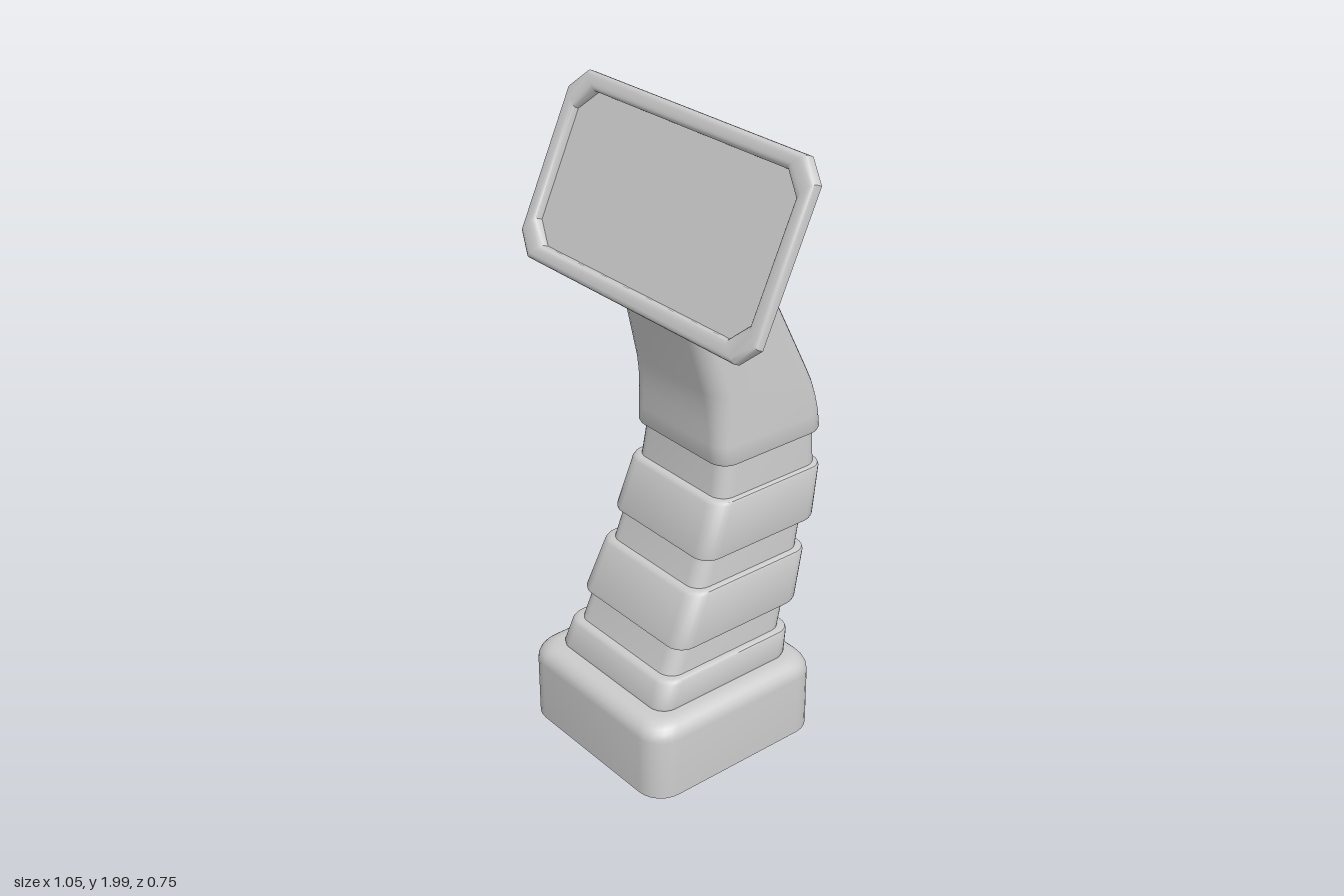
import * as THREE from 'three';
import { toCreasedNormals } from 'three/addons/utils/BufferGeometryUtils.js';

const material = new THREE.MeshStandardMaterial({ color: 0xcccccc, side: THREE.DoubleSide });

// Rounded rectangle of half width hx, running from a front to a back point [z, y]
function section(hx, front, back, r, seg = 6) {
  const f = new THREE.Vector2(...front), b = new THREE.Vector2(...back);
  const hd = f.distanceTo(b) / 2;
  const mid = f.clone().add(b).multiplyScalar(0.5);
  const dir = f.clone().sub(b).normalize();
  const points = [];
  [[1, 1], [-1, 1], [-1, -1], [1, -1]].forEach(([sx, sd], corner) => {
    for (let i = 0; i <= seg; i++) {
      const a = (corner + i / seg) * Math.PI / 2;
      const x = sx * (hx - r) + r * Math.cos(a);
      const d = sd * (hd - r) + r * Math.sin(a);
      points.push(new THREE.Vector3(x, mid.y + dir.y * d, mid.x + dir.x * d));
    }
  });
  return points;
}

// Skin over a stack of sections, with optional flat ends
function loft(name, sections, capStart = false, capEnd = false) {
  const n = sections[0].length;
  const points = sections.flat();
  const index = [];
  for (let s = 0; s < sections.length - 1; s++) {
    for (let i = 0; i < n; i++) {
      const a = s * n + i, b = s * n + (i + 1) % n;
      index.push(a, a + n, b, b, a + n, b + n);
    }
  }
  const cap = (start, flip) => {
    const centre = new THREE.Vector3();
    for (let i = 0; i < n; i++) centre.addScaledVector(points[start + i], 1 / n);
    const c = points.push(centre) - 1;
    for (let i = 0; i < n; i++) {
      const a = start + i, b = start + (i + 1) % n;
      if (flip) index.push(c, a, b); else index.push(c, b, a);
    }
  };
  if (capStart) cap(0, true);
  if (capEnd) cap((sections.length - 1) * n, false);
  const geometry = new THREE.BufferGeometry().setFromPoints(points);
  geometry.setIndex(index);
  const mesh = new THREE.Mesh(toCreasedNormals(geometry, 0.62), material);
  mesh.name = name;
  return mesh;
}

// Level section given as [y, front z, back z, half width], pulled in by an inset
const level = ([y, f, b, hx], inset = 0, r = 0.055) =>
  section(hx - inset, [f - inset, y], [b + inset, y], r);

// Point between two levels, at fraction t
const mix = (p, q, t) => p.map((v, i) => v + (q[i] - v) * t);

// Sleeve with softened lips that close in on the neck
function sleeve(name, bottom, top) {
  const lip = 0.012 / (top[0] - bottom[0]);
  return loft(name, [
    level(bottom, 0.035, 0.04), level(bottom, 0.01), level(mix(bottom, top, lip * 0.3), 0.003),
    level(mix(bottom, top, lip)), level(mix(bottom, top, 1 - lip)),
    level(mix(bottom, top, 1 - lip * 0.3), 0.003), level(top, 0.01), level(top, 0.035, 0.04),
  ]);
}

export function createModel() {
  const group = new THREE.Group();

  // Hollow foot with a rounded top edge
  const foot = [0, 0.38, -0.27, 0.325];
  const footSections = [level(foot, 0, 0.085)];
  const edge = 0.055;
  for (let i = 0; i <= 6; i++) {
    const a = i / 6 * Math.PI / 2;
    const inset = edge * (1 - Math.cos(a));
    footSections.push(level([0.203 + edge * Math.sin(a), ...foot.slice(1)], inset, 0.085 - inset * 0.4));
  }
  footSections.push(level([0.258, ...foot.slice(1)], 0.09, 0.055));
  group.add(loft('foot', footSections));

  // Overlapping sleeves of the bent column
  group.add(
    sleeve('lowerSleeve', [0.255, 0.31, -0.21, 0.26], [0.347, 0.275, -0.23, 0.25]),
    sleeve('middleSleeve', [0.433, 0.23, -0.26, 0.247], [0.602, 0.153, -0.307, 0.233]),
    sleeve('upperSleeve', [0.692, 0.117, -0.34, 0.23], [0.867, 0.053, -0.375, 0.218]),
  );

  // Narrower necks between the sleeves
  [
    [[0.34, 0.253, -0.205, 0.228], [0.44, 0.214, -0.235, 0.222]],
    [[0.595, 0.135, -0.285, 0.213], [0.7, 0.098, -0.31, 0.207]],
    [[0.86, 0.033, -0.36, 0.202], [0.985, 0.014, -0.36, 0.195]],
  ].forEach(([low, high]) => group.add(loft('neck', [level(low, 0, 0.05), level(high, 0, 0.05)])));

  // Head leaning forward to meet the back of the screen
  const head = [0.975, 0.037, -0.375, 0.212];
  group.add(loft('head', [
    level(head, 0.035, 0.04), level(head, 0.01), level([0.979, ...head.slice(1)], 0.003),
    level([0.987, ...head.slice(1)]),
    section(0.21, [0.039, 1.04], [-0.372, 1.04], 0.058),
    section(0.208, [0.04, 1.1], [-0.362, 1.09], 0.06),
    section(0.206, [0.044, 1.16], [-0.347, 1.14], 0.062),
    section(0.203, [0.053, 1.21], [-0.326, 1.19], 0.064),
    section(0.172, [0.15, 1.577], [0.006, 1.886], 0.065),
  ]));

  // Screen: chamfered plate with a raised rim, as [half width, half height, depth, chamfer]
  const screen = loft('screen', [
    [0.519, 0.281, 0, 0.06], [0.525, 0.287, 0.005, 0.062], [0.525, 0.287, 0.024, 0.062],
    [0.522, 0.284, 0.031, 0.062], [0.517, 0.279, 0.036, 0.062], [0.509, 0.271, 0.038, 0.062],
    [0.492, 0.253, 0.038, 0.062], [0.484, 0.244, 0.036, 0.063], [0.479, 0.239, 0.031, 0.064],
    [0.476, 0.235, 0.024, 0.064], [0.475, 0.234, 0.01, 0.064],
  ].map(([w, h, depth, c]) => section(w, [h, depth], [-h, depth], c, 1)), true, true);
  screen.rotation.x = THREE.MathUtils.degToRad(65);
  screen.position.set(0, 1.724, 0.074);
  group.add(screen);

  return group;
}
